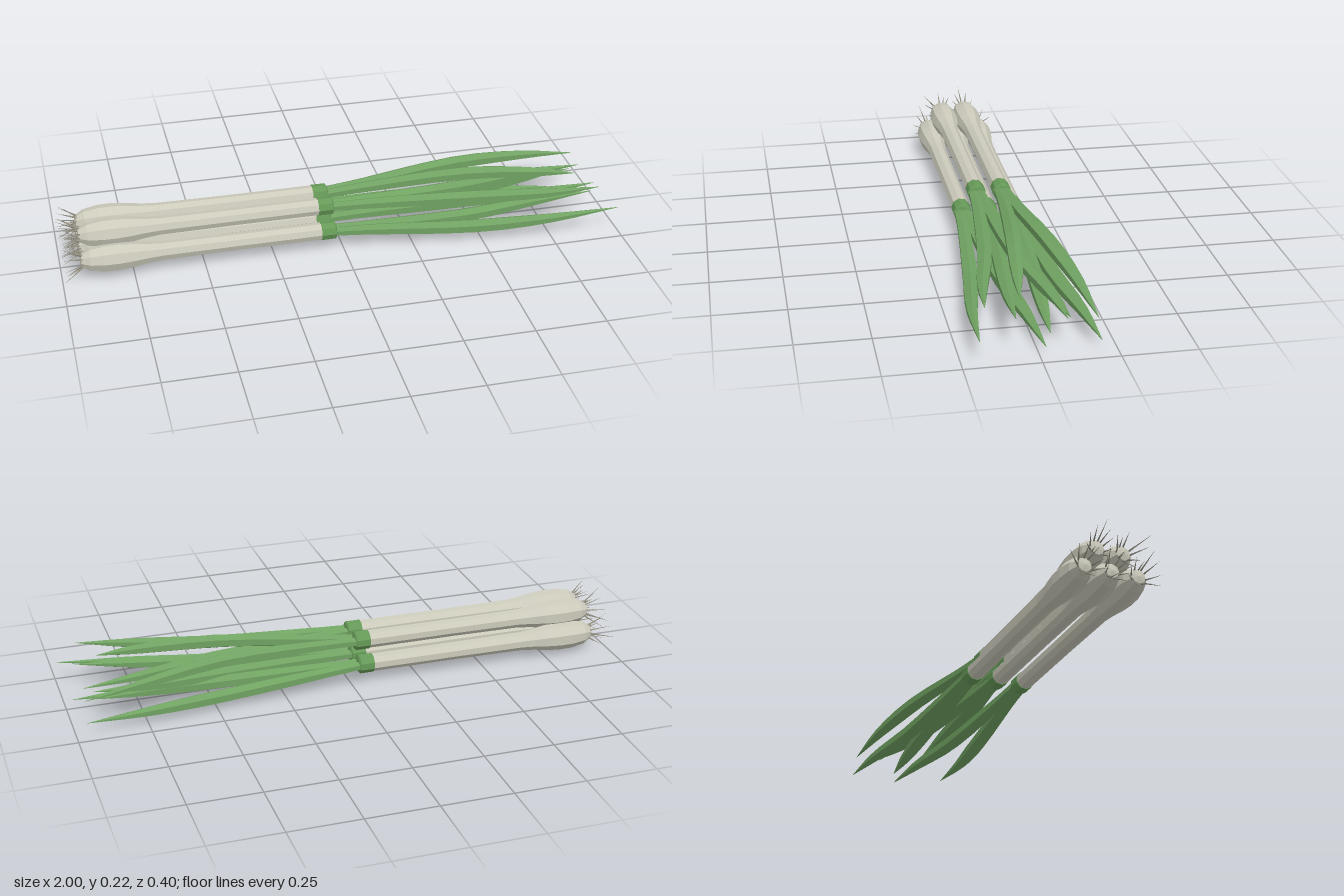
import * as THREE from 'three';

const material = (name, color) => {
  const m = new THREE.MeshStandardMaterial({ color, flatShading: true });
  m.name = name;
  return m;
};

// Lathe profile of [x, radius] pairs, turned to lie along x
function latheX(profile, sides) {
  const g = new THREE.LatheGeometry(profile.map(([x, r]) => new THREE.Vector2(r, x)), sides);
  return g.rotateZ(-Math.PI / 2);
}

// Hollow-looking leaf: rings along a curve that swell, then taper to a point
function leafGeometry(curve) {
  const sides = 6, steps = 12, pos = [], index = [];
  const width = new THREE.CatmullRomCurve3(
    [[0, 0.017], [0.2, 0.02], [0.4, 0.025], [0.55, 0.025], [0.75, 0.015], [1, 0.0005]]
      .map(([t, r]) => new THREE.Vector3(t, r, 0)));
  for (let i = 0; i <= steps; i++) {
    const p = curve.getPoint(i / steps), r = width.getPoint(i / steps).y;
    for (let j = 0; j < sides; j++) {
      const a = (j / sides) * Math.PI * 2;
      pos.push(p.x, p.y + Math.cos(a) * r * 0.95, p.z + Math.sin(a) * r * 1.1);
      if (i === steps) continue;
      const k = i * sides + j, n = i * sides + (j + 1) % sides;
      index.push(k, n, k + sides, n, n + sides, k + sides);
    }
  }
  const g = new THREE.BufferGeometry();
  g.setAttribute('position', new THREE.Float32BufferAttribute(pos, 3));
  g.setIndex(index);
  g.computeVertexNormals();
  return g;
}

export function createModel() {
  const group = new THREE.Group();
  group.name = 'springOnionBunch';
  const white = material('bulb white', 0xcbcabb);
  const collarGreen = material('collar green', 0x669a58);
  const leafGreen = material('leaf green', 0x70a262);
  const rootGrey = material('root grey', 0x928e80);

  const bulbGeo = latheX([[-0.935, 0], [-0.93, 0.024], [-0.9, 0.042], [-0.85, 0.051], [-0.8, 0.052],
    [-0.75, 0.047], [-0.7, 0.039], [-0.65, 0.034], [-0.4, 0.032], [-0.08, 0.032]], 9);
  const collarGeo = latheX([[-0.08, 0.032], [-0.08, 0.034], [-0.03, 0.034], [-0.025, 0.026], [-0.02, 0]], 9);
  const rootGeo = new THREE.ConeGeometry(0.0035, 1, 4).translate(0, 0.5, 0);

  // Each stalk: centre y, z and two leaves given as [mid y, mid z, tip x, tip y, tip z]
  const stalks = [
    { y: 0.064, z: 0.082, leaves: [[0.042, 0.138, 1, 0.083, 0.197], [0.026, 0.03, 0.98, 0.035, -0.015]] },
    { y: 0.064, z: -0.012, leaves: [[0.09, 0.035, 0.95, 0.125, 0.075], [0.075, -0.055, 0.92, 0.1, -0.105]] },
    { y: 0.064, z: -0.108, leaves: [[0.036, -0.145, 0.96, 0.033, -0.197], [0.055, -0.075, 0.9, 0.04, -0.045]] },
    { y: 0.135, z: 0.03, leaves: [[0.135, 0.09, 0.93, 0.162, 0.17], [0.122, -0.015, 0.95, 0.11, -0.09]] },
    { y: 0.135, z: -0.062, leaves: [[0.16, -0.125, 0.96, 0.11, -0.185], [0.181, -0.005, 0.88, 0.16, 0.05]] },
  ];

  const up = new THREE.Vector3(0, 1, 0);
  stalks.forEach(({ y, z, leaves }, s) => {
    const stalk = new THREE.Group();
    stalk.name = `onion${s + 1}`;
    group.add(stalk);
    const add = (name, geo, mat) => {
      const mesh = new THREE.Mesh(geo, mat);
      mesh.name = name;
      stalk.add(mesh);
      return mesh;
    };
    add('bulbAndStem', bulbGeo, white).position.set(0, y, z);
    add('collar', collarGeo, collarGreen).position.set(0, y, z);

    // Roots splay out behind the bulb
    for (let i = 0; i < 10; i++) {
      const a = i * 2.4 + s, spread = 0.3 + 0.6 * ((i * 7 + s * 3) % 10) / 10;
      const dir = new THREE.Vector3(-1, Math.cos(a) * spread, Math.sin(a) * spread);
      const root = add('root', rootGeo, rootGrey);
      root.position.set(-0.922, y + Math.cos(a) * 0.022, z + Math.sin(a) * 0.022);
      root.scale.y = dir.length() * (0.05 + 0.028 * ((i * 3 + s) % 5) / 4);
      root.quaternion.setFromUnitVectors(up, dir.normalize());
    }

    leaves.forEach(([my, mz, tx, ty, tz]) => {
      const side = Math.sign(tz - z) * 0.011;
      const curve = new THREE.CatmullRomCurve3([
        new THREE.Vector3(-0.05, y, z + side),
        new THREE.Vector3(0.12, y + (my - y) * 0.35, z + side + (mz - z - side) * 0.2),
        new THREE.Vector3(0.47, my, mz),
        new THREE.Vector3(0.75, my + (ty - my) * 0.45, mz + (tz - mz) * 0.68),
        new THREE.Vector3(tx, ty, tz),
      ]);
      add('leaf', leafGeometry(curve), leafGreen);
    });
  });
  return group;
}
